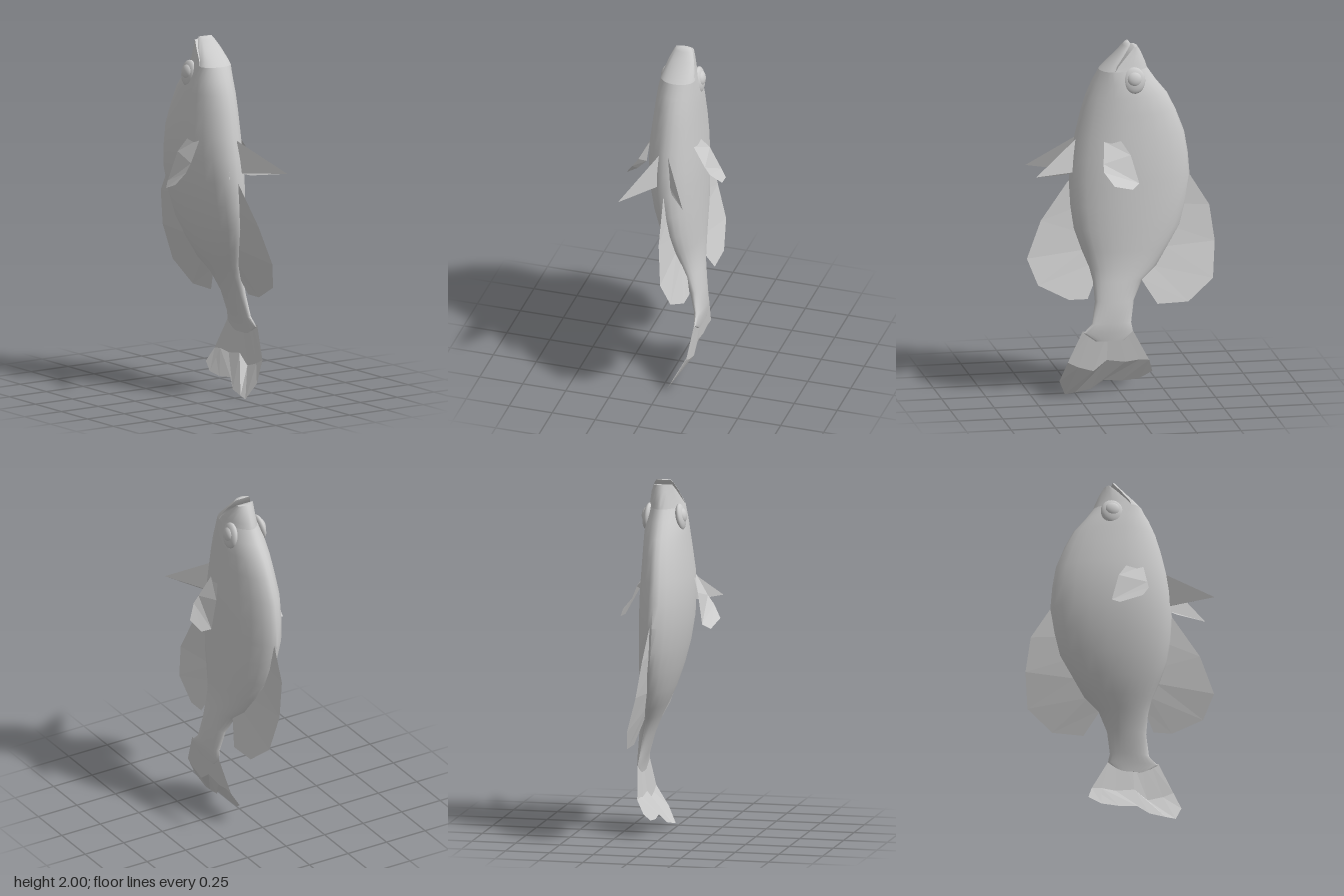
import * as THREE from 'three';
import { toCreasedNormals } from 'three/addons/utils/BufferGeometryUtils.js';

const SEGMENTS = 24;
const skin = new THREE.MeshStandardMaterial({ color: 0xcccccc });
const finSkin = new THREE.MeshStandardMaterial({ color: 0xcccccc, flatShading: true, side: THREE.DoubleSide });

// Body sections from tail to head: y, centre x, belly z, back z, z of widest point, half width
const bodySections = [
  [0.33, 0.163, 0.16, 0.0, 0.08, 0.008],
  [0.38, 0.162, 0.23, -0.05, 0.09, 0.016],
  [0.43, 0.155, 0.18, -0.04, 0.07, 0.026],
  [0.55, 0.13, 0.16, -0.06, 0.05, 0.04],
  [0.66, 0.098, 0.165, -0.115, 0.03, 0.056],
  [0.73, 0.074, 0.18, -0.2, 0.01, 0.07],
  [0.83, 0.05, 0.22, -0.265, 0, 0.092],
  [0.95, 0.03, 0.26, -0.34, 0, 0.113],
  [1.08, 0.012, 0.277, -0.375, 0, 0.13],
  [1.22, 0.0, 0.283, -0.4, 0, 0.142],
  [1.35, -0.005, 0.27, -0.39, 0, 0.145],
  [1.47, -0.007, 0.25, -0.37, 0, 0.141],
  [1.6, -0.002, 0.22, -0.32, 0, 0.13],
  [1.7, 0.002, 0.19, -0.27, 0, 0.122],
  [1.78, 0.005, 0.155, -0.205, 0.01, 0.113],
  [1.85, 0.009, 0.115, -0.157, 0.04, 0.099],
];
// Each jaw has its widest point on the flat mouth side
const lowerJaw = [
  [1.85, 0.009, 0.115, 0.04, 0.04, 0.099],
  [1.88, 0.01, 0.085, 0.03, 0.03, 0.09],
  [1.94, 0.012, 0.022, -0.015, -0.015, 0.073],
  [1.985, 0.012, -0.018, -0.048, -0.048, 0.053],
  [2.0, 0.012, -0.03, -0.055, -0.055, 0.042],
];
const upperJaw = [
  [1.85, 0.009, 0.04, -0.157, 0.04, 0.099],
  [1.88, 0.01, 0.02, -0.148, 0.02, 0.089],
  [1.94, 0.012, -0.036, -0.122, -0.036, 0.07],
  [1.978, 0.012, -0.074, -0.1, -0.074, 0.053],
];

// Closed skin over egg-shaped sections, listed upwards
function loft(name, sections) {
  const pos = [], index = [];
  for (const [y, cx, belly, back, mid, half] of sections) {
    for (let j = 0; j < SEGMENTS; j++) {
      const t = (j / SEGMENTS) * Math.PI * 2, c = Math.cos(t), s = Math.sin(t);
      const taper = s < 0 ? 1.2 : 1; // the back is sharper than the belly
      const x = Math.sign(c) * Math.pow(Math.abs(c), taper) * half;
      pos.push(cx + x, y, mid + s * (s > 0 ? belly - mid : mid - back));
    }
  }
  const last = (sections.length - 1) * SEGMENTS, base = pos.length / 3;
  for (const [y, cx, belly, back] of [sections[0], sections[sections.length - 1]]) {
    pos.push(cx, y, (belly + back) / 2);
  }
  for (let j = 0; j < SEGMENTS; j++) {
    const k = (j + 1) % SEGMENTS;
    for (let r = 0; r < last; r += SEGMENTS) {
      const up = r + SEGMENTS;
      index.push(r + j, up + j, r + k, up + j, up + k, r + k);
    }
    index.push(base, j, k, base + 1, last + k, last + j);
  }
  const geo = new THREE.BufferGeometry();
  geo.setAttribute('position', new THREE.Float32BufferAttribute(pos, 3));
  geo.setIndex(index);
  const mesh = new THREE.Mesh(toCreasedNormals(geo, 0.9), skin);
  mesh.name = name;
  return mesh;
}

// Thin fin made from equal-length rows of [x, y, z] points
function sheet(name, rows) {
  const n = rows[0].length, index = [];
  for (let r = 0; r < rows.length - 1; r++) {
    for (let i = 0; i < n - 1; i++) {
      const a = r * n + i, b = a + n;
      index.push(a, b, a + 1, b, b + 1, a + 1);
    }
  }
  const geo = new THREE.BufferGeometry();
  geo.setAttribute('position', new THREE.Float32BufferAttribute(rows.flat(2), 3));
  geo.setIndex(index);
  geo.computeVertexNormals();
  const mesh = new THREE.Mesh(geo, finSkin);
  mesh.name = name;
  return mesh;
}

// Centre of the bent body at a given height
function spineX(y) {
  const i = Math.max(1, bodySections.findIndex((s) => s[0] >= y));
  const [a, b] = [bodySections[i - 1], bodySections[i]];
  return THREE.MathUtils.mapLinear(y, a[0], b[0], a[1], b[1]);
}
const alongSpine = (points, offset) => points.map(([z, y]) => [spineX(y) + offset, y, z]);

function eye(name, side) {
  const group = new THREE.Group();
  group.name = name;
  const socket = new THREE.Mesh(new THREE.SphereGeometry(1, 24, 16), skin);
  socket.name = 'eyeSocket';
  socket.scale.set(0.026, 0.075, 0.064);
  const ball = new THREE.Mesh(new THREE.SphereGeometry(1, 24, 16), skin);
  ball.name = 'eyeball';
  ball.scale.set(0.025, 0.043, 0.043);
  ball.position.set(side * 0.01, 0.008, 0);
  group.add(socket, ball);
  group.position.set(0.006 + side * 0.093, 1.797, -0.067);
  group.rotation.z = side * 0.15;
  return group;
}

export function createModel() {
  const fish = new THREE.Group();
  fish.name = 'fish';
  fish.add(loft('body', bodySections), loft('lowerJaw', lowerJaw), loft('upperJaw', upperJaw));
  fish.add(eye('leftEye', 1), eye('rightEye', -1));

  // Fins along the back and belly, following the bend of the body
  fish.add(sheet('dorsalFin', [
    alongSpine([[-0.37, 1.24], [-0.36, 1.06], [-0.31, 0.93], [-0.25, 0.83], [-0.17, 0.73], [-0.1, 0.67]], 0.01),
    alongSpine([[-0.4, 1.22], [-0.505, 1.05], [-0.53, 0.85], [-0.51, 0.65], [-0.365, 0.53], [-0.19, 0.525]], 0.014),
  ]));
  fish.add(sheet('analFin', [
    alongSpine([[0.26, 1.24], [0.26, 1.06], [0.24, 0.93], [0.2, 0.83], [0.17, 0.75], [0.145, 0.68]], 0),
    alongSpine([[0.283, 1.22], [0.445, 1.0], [0.53, 0.795], [0.475, 0.65], [0.305, 0.565], [0.2, 0.565]], 0),
  ]));

  // Tail fin, curling sideways below the crease
  const curl = ([z, y]) => [0.03 + y * 0.55, y, z];
  fish.add(sheet('tailFin', [
    [0.235, 0.19, 0.14, 0.09, 0.04, 0, -0.045].map((z) => [0.163, 0.39, z]),
    [[0.315, 0.21], [0.255, 0.18], [0.17, 0.155], [0.095, 0.215], [-0.01, 0.2], [-0.09, 0.21], [-0.145, 0.205]]
      .map(([z, y]) => [0.142, y, z]),
    [[0.35, 0.09], [0.31, 0], [0.255, 0.01], [0.165, 0.03], [0.1, 0.085], [0, 0.075], [-0.1, 0.085]].map(curl),
  ]));
  fish.add(sheet('tailCorner', [
    [[0.142, 0.21, -0.09], [0.142, 0.205, -0.145]],
    [[0.077, 0.085, -0.1], [0.1, 0.13, -0.17]],
  ]));

  // Paired side fins
  fish.add(sheet('leftPectoralFin', [
    [[0.12, 1.49, 0.03], [0.17, 1.39, -0.035], [0.225, 1.24, -0.073], [0.265, 1.215, -0.03]],
    [[0.12, 1.46, 0.105], [0.19, 1.35, 0.122], [0.22, 1.31, 0.125], [0.275, 1.24, 0.075]],
  ]));
  fish.add(sheet('rightPectoralFin', [
    [[-0.13, 1.49, 0.03], [-0.18, 1.37, -0.045], [-0.215, 1.2, -0.09], [-0.255, 1.17, -0.05]],
    [[-0.13, 1.46, 0.1], [-0.2, 1.33, 0.112], [-0.235, 1.28, 0.115], [-0.28, 1.21, 0.075]],
  ]));

  // Pointed fins below the chest
  fish.add(sheet('leftPelvicFin', [
    [[0.01, 1.46, 0.24], [0.03, 1.27, 0.26]],
    [[0.18, 1.29, 0.5], [0.06, 1.265, 0.32]],
  ]));
  fish.add(sheet('rightPelvicFin', [
    [[-0.035, 1.46, 0.24], [-0.04, 1.265, 0.26]],
    [[-0.2, 1.265, 0.49], [-0.07, 1.265, 0.3]],
  ]));
  return fish;
}
